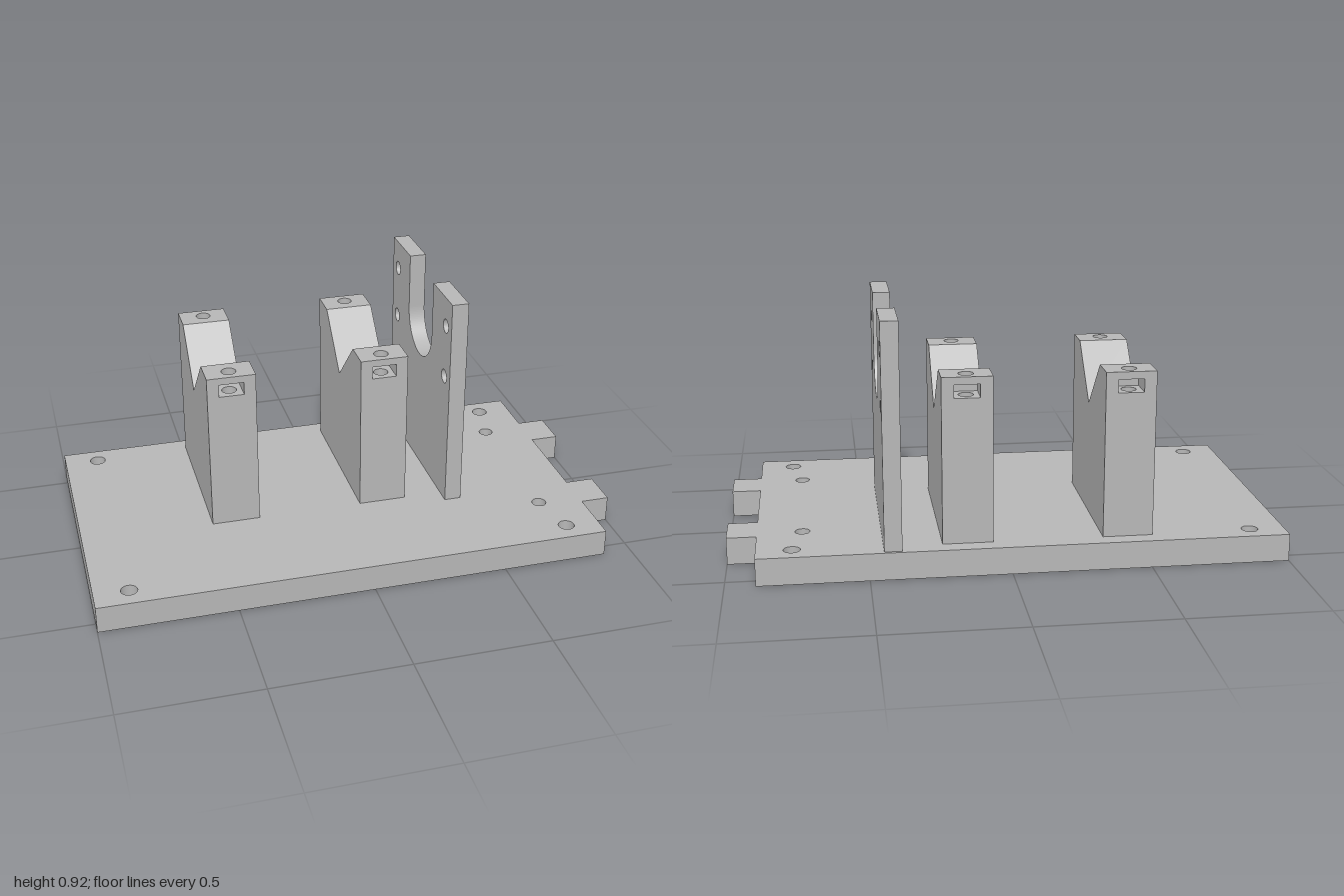
import * as THREE from 'three';

const grey = new THREE.MeshStandardMaterial({ color: 0xb6b6b6 });
grey.name = 'plain grey';

// Closed outline with round holes given as [x, y, radius]
function outline(points, holes = []) {
  const shape = new THREE.Shape(points.map(([x, y]) => new THREE.Vector2(x, y)));
  for (const [x, y, r] of holes) {
    shape.holes.push(new THREE.Path().absarc(x, y, r, 0, Math.PI * 2, true));
  }
  return shape;
}

function extrude(shape, depth) {
  return new THREE.ExtrudeGeometry(shape, { depth, bevelEnabled: false, curveSegments: 32 });
}

function part(name, geometry) {
  const mesh = new THREE.Mesh(geometry, grey);
  mesh.name = name;
  return mesh;
}

// Horizontal slab: outline in (x, z), between two heights
function slab(name, shape, y0, y1) {
  return part(name, extrude(shape, y1 - y0).rotateX(Math.PI / 2).translate(0, y1, 0));
}

// Upright slice: outline in (-z, y), between two x positions
function slice(name, shape, x0, x1) {
  return part(name, extrude(shape, x1 - x0).rotateY(Math.PI / 2).translate(x0, 0, 0));
}

// Base plate with two locking tabs, corner holes and counterbored holes
function createBase() {
  const group = new THREE.Group();
  group.name = 'basePlate';
  const edge = [
    [-1, -0.55], [0.893, -0.55], [0.893, -0.333], [1, -0.333], [1, -0.182], [0.893, -0.182],
    [0.893, 0.178], [1, 0.178], [1, 0.328], [0.893, 0.328], [0.893, 0.55], [-1, 0.55],
  ];
  const corners = [];
  for (const x of [-0.873, 0.767]) for (const z of [-0.475, 0.47]) corners.push([x, z, 0.03]);
  const inner = (r) => [[0.73, -0.297, r], [0.73, 0.29, r]];
  group.add(slab('plateTop', outline(edge, [...corners, ...inner(0.027)]), 0.05, 0.1));
  group.add(slab('plateBottom', outline(edge, [...corners, ...inner(0.053)]), 0, 0.05));
  return group;
}

// Screw post: vertical hole crossed by a nut slot opening on the outer face
function createPost() {
  const post = new THREE.Group();
  post.name = 'screwPost';
  const w = 0.09, z0 = 0.19, z1 = 0.305, s = 0.046, floor = 0.21;
  const box = [[-w, z0], [w, z0], [w, z1], [-w, z1]];
  const notched = [[-w, z0], [w, z0], [w, z1], [s, z1], [s, floor], [-s, floor], [-s, z1], [-w, z1]];
  const hole = [[0, 0.255, 0.027]];
  post.add(slab('postLower', outline(box, hole), 0.45, 0.628));
  post.add(slab('nutSlot', outline(notched), 0.628, 0.676));
  post.add(slab('postCap', outline(box, hole), 0.676, 0.703));
  return post;
}

// Bearing block with a V groove between two screw posts
function createBlock(x) {
  const block = new THREE.Group();
  block.name = 'grooveBlock';
  const profile = [
    [-0.305, 0.1], [0.305, 0.1], [0.305, 0.45], [0.19, 0.45], [0.19, 0.703],
    [0, 0.513], [-0.19, 0.703], [-0.19, 0.45], [-0.305, 0.45],
  ];
  block.add(slice('grooveBody', outline(profile), -0.09, 0.09));
  for (const turn of [0, Math.PI]) {
    const post = createPost();
    post.rotation.y = turn;
    block.add(post);
  }
  block.position.set(x, 0, -0.184);
  return block;
}

// Thin upright bracket with a U cut-out and four mounting holes
function createBracket() {
  const c = 0.18, r = 0.142, top = 0.915, bend = 0.703;
  const shape = new THREE.Shape();
  shape.moveTo(c - 0.359, 0.1);
  shape.lineTo(c + 0.359, 0.1);
  shape.lineTo(c + 0.359, top);
  shape.lineTo(c + r, top);
  shape.lineTo(c + r, bend);
  shape.absarc(c, bend, r, 0, -Math.PI, true);
  shape.lineTo(c - r, top);
  shape.lineTo(c - 0.359, top);
  for (const u of [c - 0.295, c + 0.295]) {
    for (const y of [0.602, 0.806]) {
      shape.holes.push(new THREE.Path().absarc(u, y, 0.027, 0, Math.PI * 2, true));
    }
  }
  return slice('motorBracket', shape, 0.386, 0.449);
}

export function createModel() {
  const model = new THREE.Group();
  model.name = 'mountingFixture';
  model.add(createBase(), createBlock(-0.421), createBlock(0.152), createBracket());
  return model;
}
